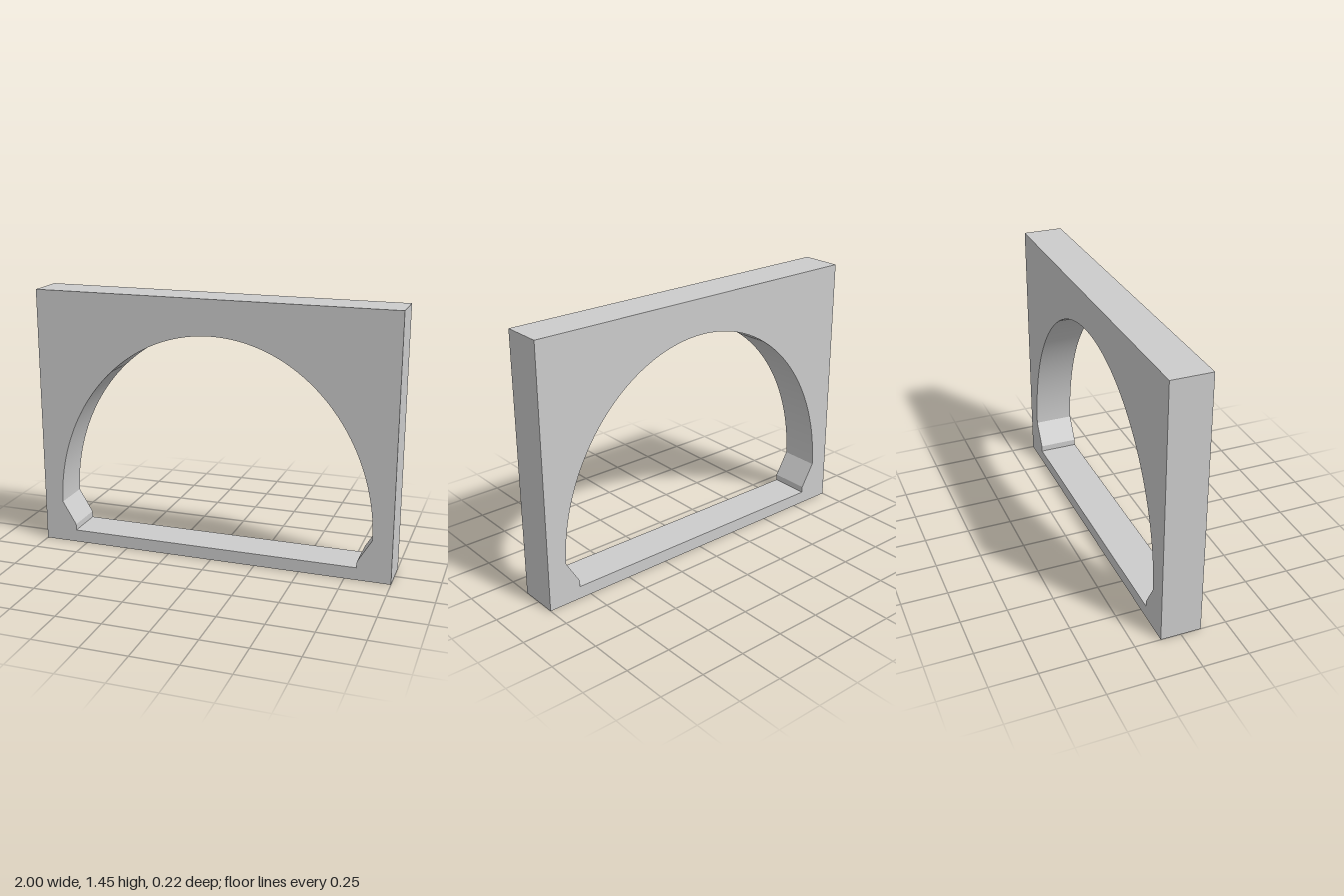
import * as THREE from 'three';
import { toCreasedNormals } from 'three/addons/utils/BufferGeometryUtils.js';

const HEIGHT = 1.45, DEPTH = 0.22;

export function createModel() {
  const group = new THREE.Group();
  group.name = 'archedPortal';

  // Rectangular wall outline
  const wall = new THREE.Shape();
  wall.moveTo(-1, 0);
  wall.lineTo(1, 0);
  wall.lineTo(1, HEIGHT);
  wall.lineTo(-1, HEIGHT);
  wall.closePath();

  // Arched opening with sloped haunches above a flat sill
  const opening = new THREE.Path();
  opening.moveTo(-0.815, 0.07);
  opening.lineTo(0.815, 0.07);
  opening.lineTo(0.815, 0.105);
  opening.lineTo(0.893, 0.235);
  opening.absellipse(0, 0.235, 0.893, 1.02, 0, Math.PI, false, 0);
  opening.lineTo(-0.815, 0.105);
  opening.closePath();
  wall.holes.push(opening);

  const extruded = new THREE.ExtrudeGeometry(wall, { depth: DEPTH, bevelEnabled: false, curveSegments: 48 });
  extruded.translate(0, 0, -DEPTH / 2);

  // Smooth the arch soffit, keep the corners sharp
  const mesh = new THREE.Mesh(
    toCreasedNormals(extruded, Math.PI / 9),
    new THREE.MeshStandardMaterial({ color: 0xcccccc })
  );
  mesh.name = 'archWall';
  group.add(mesh);
  return group;
}
